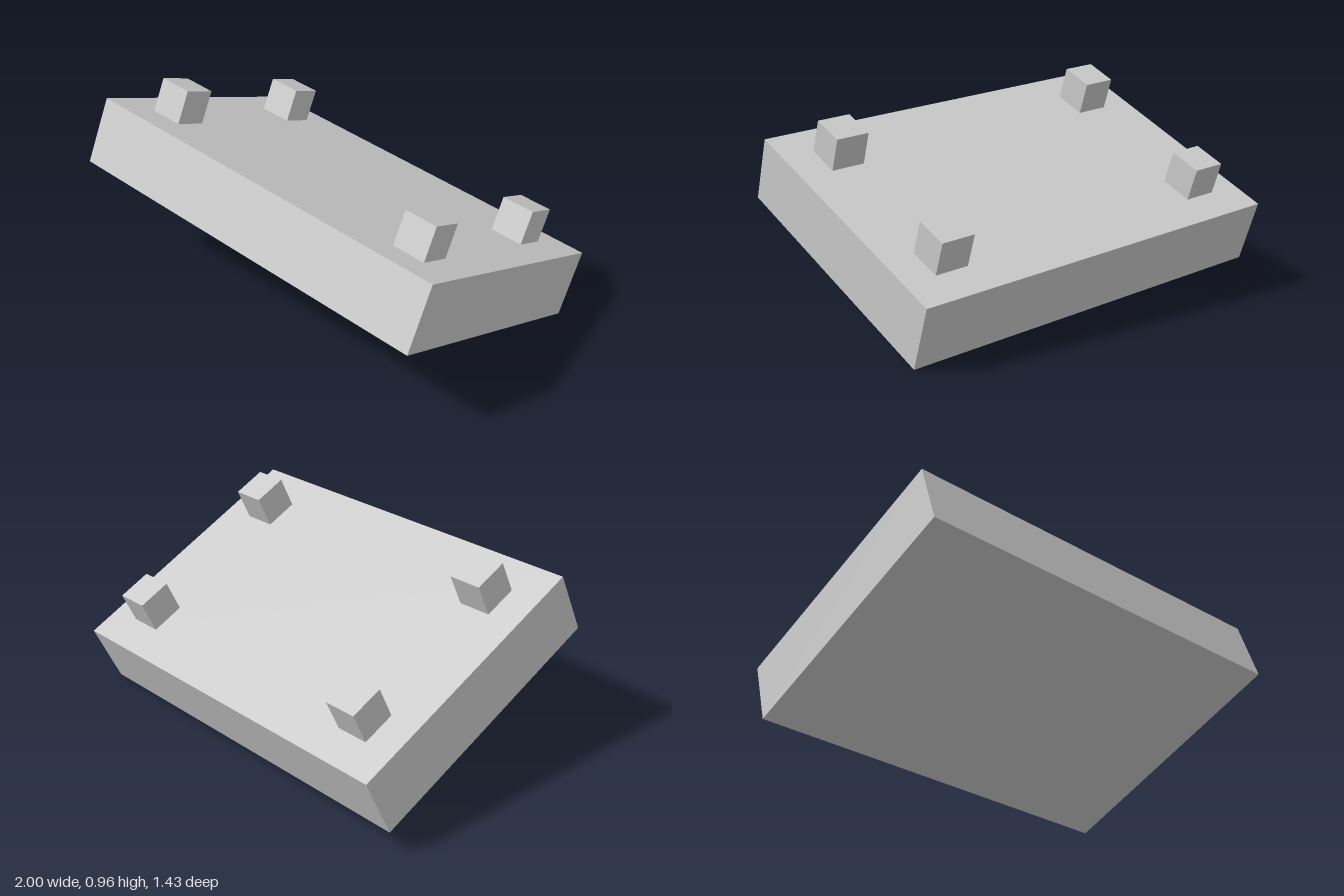
import * as THREE from 'three';

export function createModel() {
  const model = new THREE.Group();
  const material = new THREE.MeshStandardMaterial({ color: 0xcccccc, flatShading: true });

  function addBox(name, parent, size, position) {
    const mesh = new THREE.Mesh(new THREE.BoxGeometry(...size), material);
    mesh.name = name;
    mesh.position.set(...position);
    parent.add(mesh);
  }

  // Everything is built square, then tilted as one block
  const block = new THREE.Group();
  block.name = 'tiltedBlock';
  const width = 1.871, height = 0.309, depth = 1.253, peg = 0.158;

  addBox('slab', block, [width, height, depth], [0, 0, 0]);

  // One cube peg near each corner of the top face
  for (const [side, sx] of [['Left', 1], ['Right', -1]]) {
    for (const [end, sz] of [['front', 1], ['back', -1]]) {
      addBox(`${end}${side}Peg`, block, [peg, peg, peg],
        [sx * 0.704, (height + peg) / 2, sz * 0.39]);
    }
  }

  // Tilt: the block's own width and depth directions
  const across = new THREE.Vector3(0.994, -0.064, -0.0855).normalize();
  const up = new THREE.Vector3(0.1037, 0.383, 0.918).cross(across).normalize();
  const forward = new THREE.Vector3().crossVectors(across, up);
  block.quaternion.setFromRotationMatrix(new THREE.Matrix4().makeBasis(across, up, forward));
  block.position.y = 0.443;

  model.add(block);
  return model;
}
